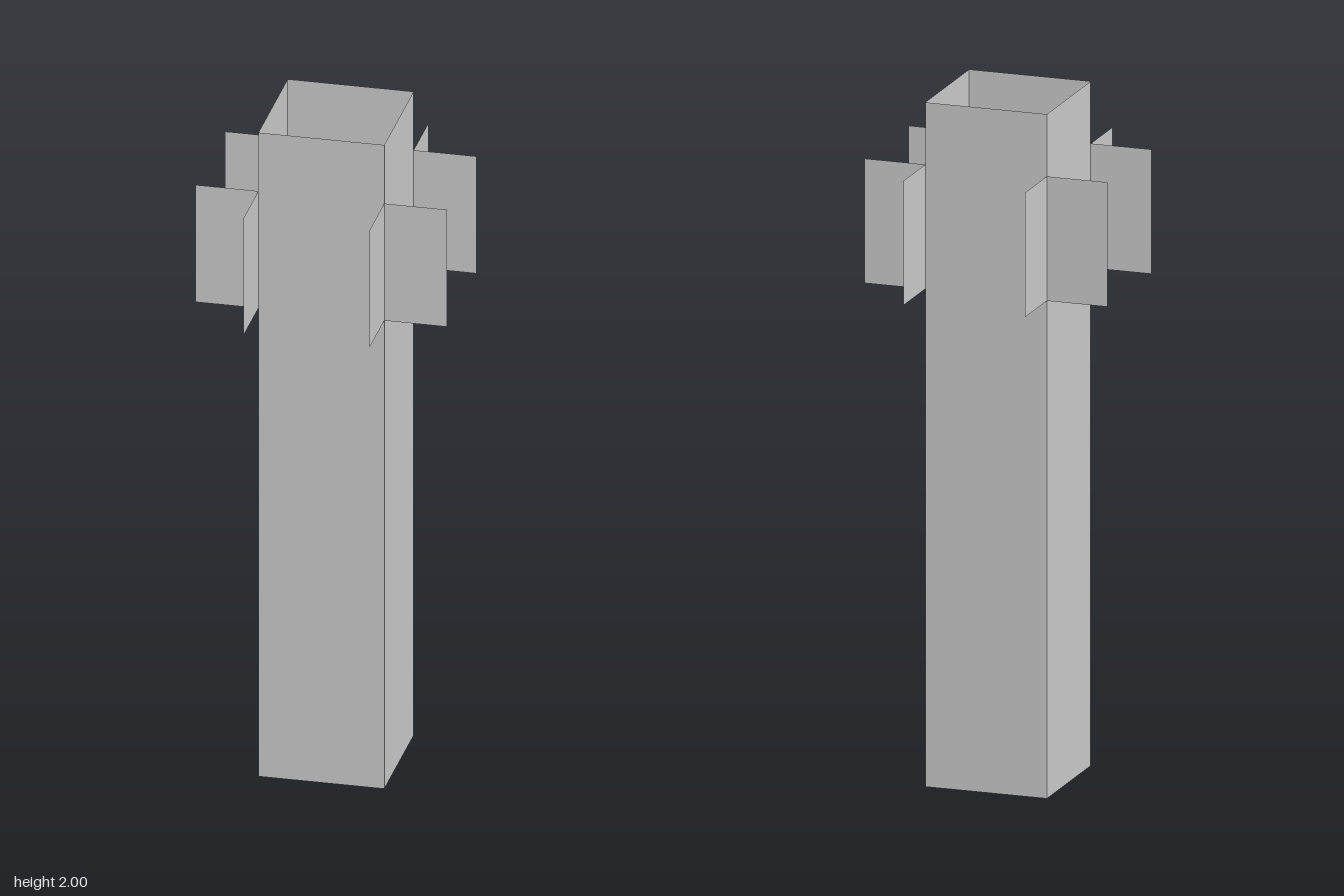
import * as THREE from 'three';

const U = 2 / 22;          // modelling unit: the post is 4 x 22 x 4 units
const HALF = 2 * U;        // half width of the post
const HEIGHT = 22 * U;

export function createModel() {
  const group = new THREE.Group();
  const material = new THREE.MeshStandardMaterial({
    color: 0xcccccc, flatShading: true, side: THREE.DoubleSide,
  });

  const panel = (name, width, height, parent, x, y, z) => {
    const mesh = new THREE.Mesh(new THREE.PlaneGeometry(width, height), material);
    mesh.name = name;
    mesh.position.set(x, y, z);
    parent.add(mesh);
    return mesh;
  };

  // Four sides: a full-height wall with a thin flame fin continuing its plane past each edge
  ['front', 'left', 'back', 'right'].forEach((name, i) => {
    const side = new THREE.Group();
    side.name = `${name}Side`;
    side.rotation.y = i * Math.PI / 2;
    panel(`${name}Wall`, 2 * HALF, HEIGHT, side, 0, HEIGHT / 2, HALF);
    for (const s of [-1, 1]) {
      panel(`${name}Fin`, 2 * U, 4 * U, side, s * 3 * U, 18 * U, HALF);
    }
    group.add(side);
  });

  // Closed underside, and the cap recessed below the open rim
  panel('bottom', 2 * HALF, 2 * HALF, group, 0, 0, 0).rotation.x = Math.PI / 2;
  panel('recessedCap', 2 * HALF, 2 * HALF, group, 0, 20 * U, 0).rotation.x = -Math.PI / 2;

  return group;
}
